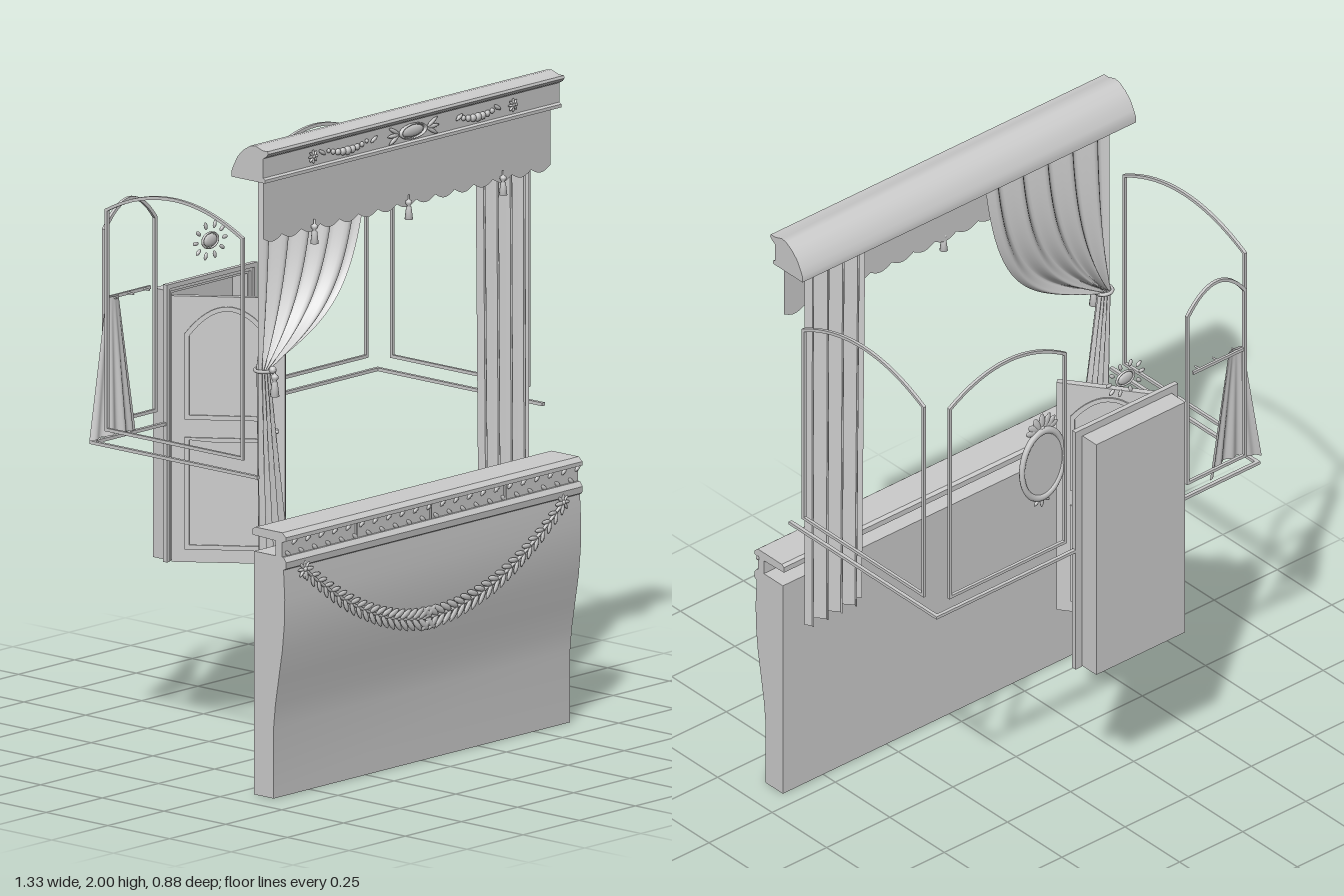
import * as THREE from 'three';
import { toCreasedNormals } from 'three/addons/utils/BufferGeometryUtils.js';
import { ParametricGeometry } from 'three/addons/geometries/ParametricGeometry.js';

const plaster = new THREE.MeshStandardMaterial({ color: 0xcccccc, side: THREE.DoubleSide });
plaster.name = 'plaster';

function add(parent, name, geo, x = 0, y = 0, z = 0) {
  const mesh = new THREE.Mesh(geo, plaster);
  mesh.name = name;
  mesh.position.set(x, y, z);
  parent.add(mesh);
  return mesh;
}
function group(parent, name, x = 0, y = 0, z = 0) {
  const g = new THREE.Group();
  g.name = name;
  g.position.set(x, y, z);
  parent.add(g);
  return g;
}
// box given by its min and max corners
function block(parent, name, x0, x1, y0, y1, z0, z1) {
  return add(parent, name, new THREE.BoxGeometry(x1 - x0, y1 - y0, z1 - z0),
    (x0 + x1) / 2, (y0 + y1) / 2, (z0 + z1) / 2);
}
// (z, y) profile swept along x
function sweep(points, width) {
  const shape = new THREE.Shape(points.map(p => new THREE.Vector2(p[0], p[1])));
  const geo = new THREE.ExtrudeGeometry(shape, { depth: width, bevelEnabled: false });
  geo.rotateY(-Math.PI / 2).translate(width / 2, 0, 0);
  return toCreasedNormals(geo, 0.6);
}
// outline with an arched top, centred on x = 0
function archPath(path, half, y0, spring, peak) {
  path.moveTo(-half, y0);
  path.lineTo(half, y0);
  path.lineTo(half, spring);
  path.quadraticCurveTo(0, 2 * peak - spring, -half, spring);
  path.lineTo(-half, y0);
  return path;
}
function archFrame(half, y0, spring, peak, t = 0.01, depth = 0.01) {
  const shape = archPath(new THREE.Shape(), half, y0, spring, peak);
  shape.holes.push(archPath(new THREE.Path(), half - t, y0 + t, spring - t / 2, peak - t));
  return new THREE.ExtrudeGeometry(shape, { depth, bevelEnabled: false, curveSegments: 16 })
    .translate(0, 0, -depth / 2);
}
// cloth surface from a rule (u, v) -> [x, y, z]
function cloth(rule, nu, nv) {
  return new ParametricGeometry((u, v, out) => out.set(...rule(u, v)), nu, nv);
}
function leaf(parent, x, y, z, angle, len, wide = len * 0.35) {
  const geo = new THREE.SphereGeometry(1, 8, 5).scale(len / 2, wide / 2, 0.005);
  add(parent, 'leaf', geo.translate(len / 2, 0, 0), x, y, z).rotation.z = angle;
}
function flower(parent, x, y, z, r, petals = 8) {
  const g = group(parent, 'flower', x, y, z);
  for (let i = 0; i < petals; i++) leaf(g, 0, 0, 0, i * 2 * Math.PI / petals, r);
  add(g, 'flowerHeart', new THREE.SphereGeometry(r * 0.3, 8, 6));
}
function ovalRing(rx, ry, tube) {
  return new THREE.TorusGeometry(1, tube / rx, 8, 36).scale(rx, ry, rx);
}
function tassel(parent, x, top, z, h) {
  const pts = [[0, 0], [0.17, 0], [0.11, 0.5], [0.06, 0.55], [0.14, 0.65], [0.13, 0.75], [0.04, 0.82], [0.04, 1], [0, 1]];
  add(parent, 'tassel', new THREE.LatheGeometry(pts.map(p => new THREE.Vector2(p[0] * h, p[1] * h)), 10), x, top - h, z);
}
const lerp = THREE.MathUtils.lerp;
const bez = (a, b, c, d, t) => {
  const s = 1 - t;
  return s * s * s * a + 3 * s * s * t * b + 3 * s * t * t * c + t * t * t * d;
};

export function createModel() {
  const root = new THREE.Group();
  root.name = 'stageBooth';

  // counter front with mouldings, carved frieze and ledge
  const counter = group(root, 'counter');
  add(counter, 'counterBody', sweep([[0.305, 0], [0.385, 0], [0.385, 0.22], [0.392, 0.29], [0.405, 0.37], [0.42, 0.46],
    [0.428, 0.54], [0.43, 0.62], [0.425, 0.71], [0.434, 0.715], [0.436, 0.735], [0.425, 0.75], [0.305, 0.75]], 1.32));
  add(counter, 'counterLedge', sweep([[0.3, 0.8], [0.42, 0.795], [0.435, 0.8], [0.435, 0.812], [0.42, 0.825],
    [0.31, 0.825], [0.3, 0.818]], 1.32));
  block(counter, 'friezePanel', -0.66, 0.66, 0.745, 0.8, 0.392, 0.418);
  for (let i = 0; i < 44; i++) {
    const x = -0.645 + i * 0.03;
    leaf(counter, x, 0.773 + (i % 2 ? 0.008 : -0.008), 0.419, i % 2 ? 0.7 : -0.7, 0.03, 0.014);
  }
  for (const x of [-0.33, 0, 0.33]) block(counter, 'friezeDivider', x - 0.003, x + 0.003, 0.75, 0.796, 0.415, 0.424);

  // hanging leaf garland
  const garland = group(counter, 'garland');
  const sag = x => 0.45 + 0.25 * Math.pow(Math.abs(x) / 0.575, 1.9);
  const frontZ = y => (y > 0.52 ? 0.433 : 0.433 - (0.52 - y) * 0.15);
  const curve = [];
  for (let i = 0; i <= 40; i++) {
    const x = -0.575 + i * 0.02875, y = sag(x);
    curve.push(new THREE.Vector3(x, y, frontZ(y)));
    const side = x < 0 ? 1 : -1;
    const slope = Math.atan2(sag(x + 0.01) - sag(x - 0.01), 0.02) + (side < 0 ? Math.PI : 0);
    const len = 0.038 + 0.022 * (1 - Math.abs(x) / 0.575);
    for (const turn of [-0.65, 0.65]) leaf(garland, x, y, frontZ(y) + 0.003, slope + turn, len);
  }
  add(garland, 'garlandStem', new THREE.TubeGeometry(new THREE.CatmullRomCurve3(curve), 60, 0.005, 6));
  for (const s of [-1, 1]) flower(garland, s * 0.575, 0.7, 0.433, 0.03);

  // cornice with oval medallion, swags and rosettes
  const cornice = group(root, 'cornice');
  add(cornice, 'corniceBody', sweep([[0.215, 1.89], [0.35, 1.89], [0.35, 1.9], [0.342, 1.905], [0.342, 1.965], [0.355, 1.972],
    [0.363, 1.982], [0.36, 1.99], [0.34, 1.99], [0.31, 2], [0.29, 1.997], [0.262, 1.98], [0.24, 1.958], [0.224, 1.93], [0.215, 1.91]], 1.32));
  const oz = 0.35;
  add(cornice, 'medallionRing', ovalRing(0.055, 0.022, 0.006), 0, 1.935, oz);
  add(cornice, 'medallion', new THREE.SphereGeometry(1, 16, 8).scale(0.05, 0.018, 0.008), 0, 1.935, oz - 0.004);
  for (const s of [-1, 1]) {
    for (const a of [-0.5, 0, 0.5]) leaf(cornice, s * 0.06, 1.935, oz, s > 0 ? a : Math.PI - a, 0.055, 0.013);
    for (let i = 0; i < 9; i++) {
      const t = i / 4 - 1;
      const bead = new THREE.SphereGeometry(0.007 + 0.007 * (1 - Math.abs(t)), 8, 6).scale(1, 1, 0.7);
      add(cornice, 'swagBead', bead, s * (0.29 + t * 0.085), 1.926 + 0.014 * t * t, oz - 0.002);
    }
    for (const x of [0.19, 0.39]) leaf(cornice, s * x, 1.932, oz, x < 0.3 ? 0.5 : 2.6, 0.035);
    flower(cornice, s * 0.445, 1.935, oz, 0.022);
  }

  // scalloped valance and its tassels
  add(root, 'valance', cloth((u, v) => [lerp(-0.64, 0.64, u),
    lerp(1.9, 1.712 - 0.016 * Math.abs(Math.sin(u * Math.PI * 15)), v), 0.323], 150, 2));
  for (const x of [-0.42, 0, 0.42]) tassel(root, x, 1.735, 0.332, 0.075);

  // straight curtain
  const fold = (u, n) => Math.sin(u * Math.PI * 2 * n);
  add(root, 'straightCurtain', cloth((u, v) => [lerp(0.362 + 0.014 * v, 0.602, u) + 0.008 * fold(u, 8),
    lerp(1.89, 0.6, v), 0.272 + 0.026 * fold(u, 4)], 64, 4));

  // gathered curtain: swag, tieback and tail
  const gathered = group(root, 'gatheredCurtain');
  add(gathered, 'curtainSwag', cloth((u, v) => [
    bez(lerp(-0.605, -0.11, u), lerp(-0.605, -0.16, u), lerp(-0.605, -0.28, u), lerp(-0.605, -0.565, u), v),
    bez(1.89, lerp(1.69, 1.45, u), lerp(1.49, 1.39, u), 1.29, v),
    0.272 + 0.024 * (1 - 0.4 * v) * fold(u, 5)], 60, 24));
  add(gathered, 'curtainTail', cloth((u, v) => [lerp(lerp(-0.605, -0.6, v), lerp(-0.56, -0.455, v), u),
    lerp(1.29, 0.6, v), 0.272 + (0.014 + 0.012 * v) * fold(u, 4)], 48, 8));
  add(gathered, 'tieback', new THREE.TorusGeometry(0.028, 0.006, 6, 20).rotateX(Math.PI / 2), -0.582, 1.29, 0.275);
  tassel(gathered, -0.582, 1.3, 0.318, 0.085);
  add(gathered, 'tiebackKnot', new THREE.SphereGeometry(0.012, 10, 8), -0.582, 1.295, 0.31);

  // chair rails and arched wall mouldings
  const walls = group(root, 'wallMouldings');
  block(walls, 'backRail', -0.64, -0.315, 0.966, 0.976, -0.378, -0.366);
  block(walls, 'backRail', 0.09, 0.64, 0.966, 0.976, -0.378, -0.366);
  for (const s of [-1, 1]) {
    block(walls, 'sideRail', s * 0.635 - 0.006, s * 0.635 + 0.006, 0.966, 0.976, -0.378, 0.3);
    add(walls, 'sideArch', archFrame(0.28, 1.015, 1.7, 1.777), s * 0.635, 0, -0.038).rotation.y = Math.PI / 2;
  }
  add(walls, 'wideBackArch', archFrame(0.233, 1.015, 1.7, 1.777), 0.355, 0, -0.371);
  add(walls, 'narrowBackArch', archFrame(0.118, 1.015, 1.62, 1.7), -0.471, 0, -0.371);

  // doorway: trim and shallow recess
  const doorway = group(root, 'doorway');
  for (const [i, t] of [[0, 0.014], [0.012, 0.012]]) {
    const z0 = -0.378, z1 = i ? -0.368 : -0.362;
    block(doorway, 'trimPost', -0.315 + i, -0.315 + i + t, 0.545, 1.4 - i, z0, z1);
    block(doorway, 'trimPost', 0.09 - i - t, 0.09 - i, 0.545, 1.4 - i, z0, z1);
    block(doorway, 'trimHead', -0.315 + i, 0.09 - i, 1.4 - i - t, 1.4 - i, z0, z1);
  }
  block(doorway, 'recessBack', -0.29, 0.062, 0.545, 1.375, -0.44, -0.434);
  for (const x of [-0.29, 0.056]) block(doorway, 'recessSide', x, x + 0.006, 0.545, 1.375, -0.44, -0.372);
  for (const y of [0.545, 1.369]) block(doorway, 'recessEnd', -0.29, 0.062, y, y + 0.006, -0.44, -0.372);

  // open door leaf with mouldings and handles
  const door = group(root, 'door', -0.29, 0, -0.365);
  door.rotation.y = -Math.atan2(0.275, 0.205);
  block(door, 'doorLeaf', 0, 0.343, 0.545, 1.365, -0.01, 0.01);
  for (const s of [-1, 1]) {
    add(door, 'upperPanel', archFrame(0.13, 0.985, 1.25, 1.335, 0.014), 0.17, 0, s * 0.01);
    add(door, 'lowerPanel', archFrame(0.13, 0.585, 0.93, 0.93, 0.014), 0.17, 0, s * 0.01);
  }
  add(door, 'handleStem', new THREE.CylinderGeometry(0.005, 0.005, 0.025, 8).rotateX(Math.PI / 2), 0.318, 0.958, 0.022);
  add(door, 'handle', new THREE.CapsuleGeometry(0.006, 0.025, 4, 8).rotateZ(Math.PI / 2), 0.308, 0.958, 0.034);

  // oval mirror with leaf crest and finial
  const mirror = group(root, 'mirror', 0.207, 1.33, -0.362);
  add(mirror, 'mirrorFrame', ovalRing(0.082, 0.118, 0.009));
  add(mirror, 'mirrorInnerRing', ovalRing(0.069, 0.104, 0.004), 0, 0, 0.002);
  add(mirror, 'mirrorGlass', new THREE.CircleGeometry(1, 36).scale(0.08, 0.116, 1), 0, 0, -0.003);
  for (let i = 0; i < 7; i++) {
    const a = Math.PI / 2 + (i - 3) * 0.45;
    leaf(mirror, Math.cos(a) * 0.012, 0.118, 0.004, a, 0.062 - 0.003 * Math.abs(i - 3), 0.024);
  }
  add(mirror, 'crestBead', new THREE.SphereGeometry(0.013, 10, 8), 0, 0.125, 0.008);
  for (const a of [-2.4, -1.57, -0.74]) leaf(mirror, 0, -0.115, 0.004, a, 0.042, 0.014);

  // wall wreath
  const wreath = group(root, 'wallWreath', -0.115, 1.502, -0.368);
  add(wreath, 'wreathRing', ovalRing(0.034, 0.024, 0.004));
  add(wreath, 'wreathBoss', new THREE.SphereGeometry(1, 14, 8).scale(0.03, 0.02, 0.008));
  for (let i = 0; i < 10; i++) {
    const a = Math.PI / 2 + (i + 0.5) * Math.PI / 5;
    leaf(wreath, Math.cos(a) * 0.052, Math.sin(a) * 0.036, 0, a, 0.026, 0.013);
  }

  // back drape and peg rail
  add(root, 'backDrape', cloth((u, v) => [lerp(lerp(-0.585, -0.66, v), lerp(-0.53, -0.455, v), u),
    lerp(1.41, 0.98 + 0.015 * Math.sin(u * Math.PI), v),
    -0.362 + (0.006 + 0.03 * v) * Math.sin(u * Math.PI) + 0.006 * v * fold(u, 4)], 40, 6));
  block(root, 'pegRail', -0.58, -0.38, 1.4, 1.41, -0.374, -0.366);
  for (const x of [-0.555, -0.48, -0.41]) {
    add(root, 'peg', new THREE.CylinderGeometry(0.003, 0.004, 0.022, 6).rotateX(Math.PI / 2), x, 1.405, -0.357);
  }
  return root;
}
